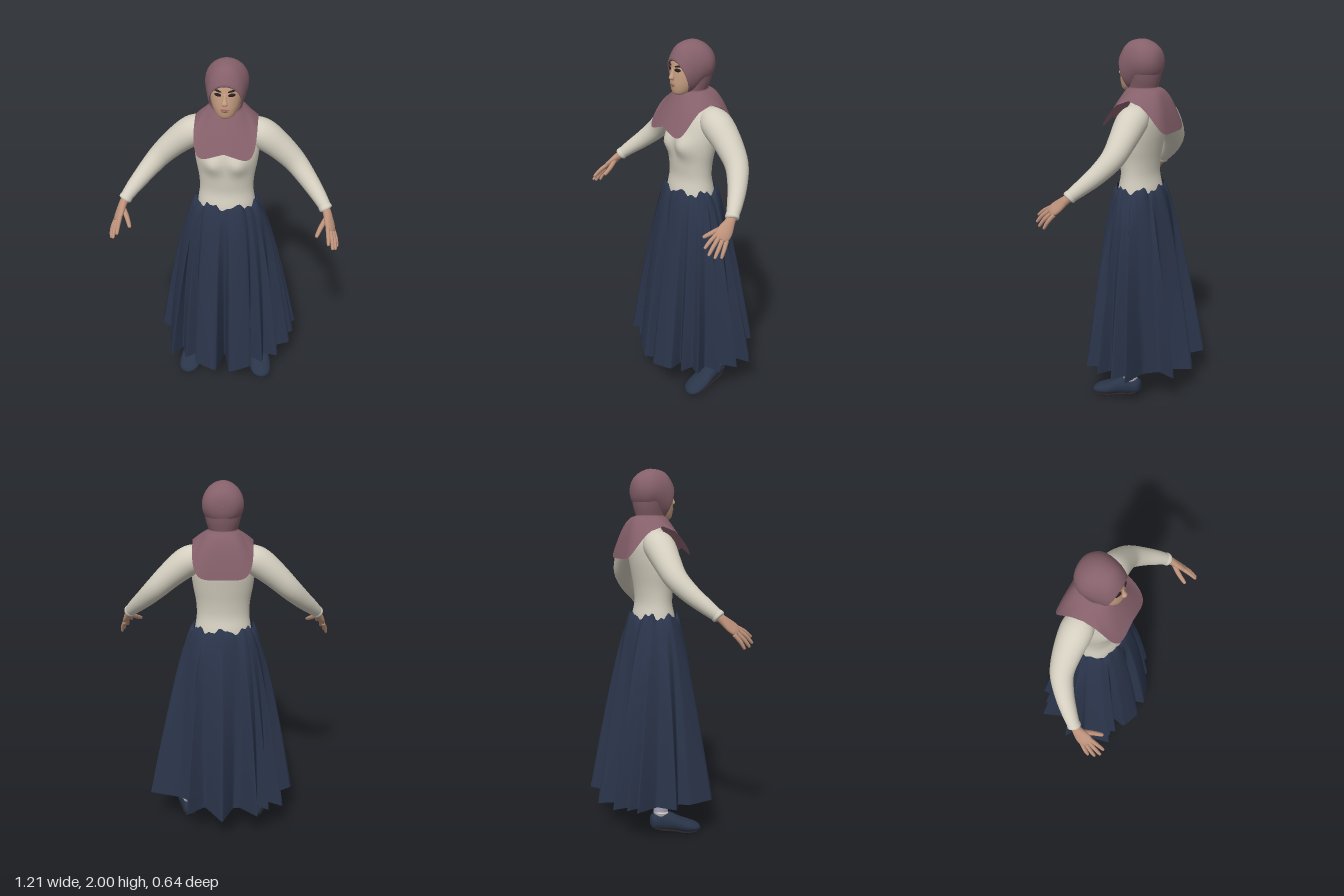
import * as THREE from 'three';

const V = (x, y, z) => new THREE.Vector3(x, y, z);
const X = V(1, 0, 0), Y = V(0, 1, 0), Z = V(0, 0, 1);
const lerp = THREE.MathUtils.lerp;

function paint(name, hex, side = THREE.FrontSide) {
  const m = new THREE.MeshStandardMaterial({ color: hex, side });
  m.name = name;
  return m;
}

// Smoothly resample rows of numbers, k steps per span
function smooth(rows, k) {
  const out = [], at = i => rows[Math.min(Math.max(i, 0), rows.length - 1)];
  for (let i = 0; i < rows.length - 1; i++) {
    for (let j = 0; j < k; j++) {
      const t = j / k;
      out.push(rows[i].map((b, c) => {
        const a = at(i - 1)[c], d = at(i + 1)[c], e = at(i + 2)[c];
        return b + 0.5 * t * (d - a + t * (2 * a - 5 * b + 4 * d - e + t * (3 * (b - d) + e - a)));
      }));
    }
  }
  out.push(rows[rows.length - 1]);
  return out;
}

// Skin a list of closed rings; faces are turned outward by signed volume
function skin(rings, cap = true) {
  const n = rings[0].length, pts = rings.flat(), idx = [];
  for (let r = 0; r < rings.length - 1; r++) {
    for (let i = 0; i < n; i++) {
      const a = r * n + i, b = r * n + (i + 1) % n;
      idx.push(a, b, a + n, b, b + n, a + n);
    }
  }
  if (cap) {
    [0, rings.length - 1].forEach(r => {
      const c = rings[r].reduce((s, p) => s.add(p), V(0, 0, 0)).divideScalar(n);
      pts.push(c);
      for (let i = 0; i < n; i++) {
        const a = r * n + i, b = r * n + (i + 1) % n;
        if (r) idx.push(a, b, pts.length - 1); else idx.push(b, a, pts.length - 1);
      }
    });
  }
  const mid = pts.reduce((s, p) => s.add(p), V(0, 0, 0)).divideScalar(pts.length);
  let vol = 0;
  for (let i = 0; i < idx.length; i += 3) {
    const [a, b, c] = [0, 1, 2].map(k => pts[idx[i + k]].clone().sub(mid));
    vol += a.dot(b.cross(c));
  }
  if (vol < 0) idx.reverse();
  const g = new THREE.BufferGeometry().setFromPoints(pts);
  g.setIndex(idx);
  g.computeVertexNormals();
  return g;
}

// Sweep ellipses along rows of [x, y, z, radiusA, radiusB]
function sweep(rows, side, axis = null, n = 20, k = 4) {
  const path = smooth(rows, k);
  return skin(path.map((p, i) => {
    const q = path[Math.min(i + 1, path.length - 1)], o = path[Math.max(i - 1, 0)];
    const t = axis || V(q[0] - o[0], q[1] - o[1], q[2] - o[2]).normalize();
    const u = side.clone().addScaledVector(t, -side.dot(t)).normalize();
    const w = t.clone().cross(u);
    return Array.from({ length: n }, (_, j) => {
      const a = j / n * Math.PI * 2;
      return V(p[0], p[1], p[2]).addScaledVector(u, p[3] * Math.cos(a)).addScaledVector(w, p[4] * Math.sin(a));
    });
  }));
}

export function createModel() {
  const model = new THREE.Group();
  const scarf = paint('mauve scarf', 0x85606a, THREE.DoubleSide);
  const cream = paint('cream cloth', 0xd3cebf);
  const navy = paint('navy cloth', 0x2b354b, THREE.DoubleSide);
  const shoeBlue = paint('navy shoe', 0x2a3549);
  const skinTone = paint('skin', 0xbc917a);
  const faceTone = paint('face skin', 0xc89f83);
  const dark = paint('dark brown', 0x2a201f);
  const lip = paint('lip', 0x9a685a);
  const sock = paint('lilac stocking', 0xaaa5bc);
  const soleMat = paint('sole', 0x2b2220);
  const add = (name, geo, mat) => {
    const m = new THREE.Mesh(geo, mat);
    m.name = name;
    model.add(m);
    return m;
  };

  // Torso with a soft bust
  const torso = sweep([
    [0, 1.12, .01, .16, .112], [0, 1.2, .012, .155, .112], [0, 1.28, .012, .144, .096],
    [0, 1.36, .012, .148, .1], [0, 1.44, .006, .162, .107], [0, 1.52, -.002, .17, .112],
    [0, 1.6, -.015, .164, .102], [0, 1.66, -.02, .13, .078], [0, 1.7, -.015, .07, .06], [0, 1.74, 0, .055, .055],
  ], X, Y, 48);
  const tp = torso.attributes.position;
  for (let i = 0; i < tp.count; i++) {
    const x = Math.abs(tp.getX(i)), y = tp.getY(i), z = tp.getZ(i);
    if (z > 0) tp.setZ(i, z + .032 * Math.exp(-((x - .07) ** 2 + (y - 1.465) ** 2) / .003));
  }
  torso.computeVertexNormals();
  add('torso', torso, cream);

  // Pleated skirt: plain at the waist, folding towards a hem outline (x, z)
  const hem = [
    [0, .16], [.04, .31], [.165, .27], [.15, .19], [.23, .24], [.235, .17], [.32, .19], [.28, .11],
    [.39, .08], [.3, .04], [.41, -.02], [.31, -.07], [.42, -.11], [.24, -.125], [.16, -.19], [.2, -.3],
    [.1, -.2], [0, -.325], [-.06, -.2], [-.1, -.2], [-.2, -.31], [-.2, -.2], [-.265, -.255], [-.25, -.16],
    [-.345, -.23], [-.29, -.09], [-.405, -.03], [-.3, .03], [-.345, .08], [-.31, .235], [-.25, .16], [-.225, .24],
    [-.15, .18], [-.165, .265], [-.04, .31],
  ];
  const hemCurve = new THREE.CatmullRomCurve3(hem.map(([x, z]) => V(x, 0, z)), true, 'catmullrom', .12);
  const hemPts = Array.from({ length: hem.length * 5 }, (_, i) => hemCurve.getPoint(i / (hem.length * 5)));
  const skirt = [];
  for (let r = 0; r <= 24; r++) {
    const f = (r / 24) ** 1.4, s = f ** .65, fold = f ** .5;
    skirt.push(hemPts.map(p => {
      const a = Math.atan2(p.x, p.z), sx = Math.sin(a), cz = Math.cos(a);
      const top = 1.215 + .012 * Math.tanh(3 * Math.sin(7 * a - 1.4)) + .008 * Math.sin(17 * a);
      return V(lerp(.162 * sx, lerp(.385 * sx, p.x, fold), s), lerp(top, .16 + .14 * Math.abs(p.x), f),
        lerp(.012 + .119 * cz, lerp(.285 * cz, p.z, fold), s));
    }));
  }
  add('skirt', skin(skirt, false), navy);

  // Head and face
  add('head', sweep([
    [0, 1.732, .088, .02, .018], [0, 1.745, .072, .046, .045], [0, 1.78, .054, .066, .07], [0, 1.82, .045, .077, .079],
    [0, 1.87, .037, .083, .083], [0, 1.92, .03, .078, .08], [0, 1.96, .02, .05, .05],
  ], X, Y, 36), faceTone);
  add('nose', sweep([
    [0, 1.872, .115, .007, .006], [0, 1.845, .122, .009, .01], [0, 1.822, .129, .015, .013], [0, 1.811, .123, .011, .006],
  ], X, Y, 16), faceTone);
  const spot = (name, mat, x, y, z, w, h, yaw, roll = 0) => {
    const m = add(name, new THREE.SphereGeometry(1, 16, 10), mat);
    m.position.set(x, y, z);
    m.scale.set(w, h, .0045);
    m.rotation.set(0, yaw, roll, 'YXZ');
  };
  spot('upperLip', lip, 0, 1.788, .124, .024, .004, 0);
  spot('lowerLip', lip, 0, 1.78, .1235, .019, .005, 0);

  // Hood around the face: rows of [z, centreY, radiusX, radiusY, tilt]
  const oval = ([z, cy, rx, ry, k]) => Array.from({ length: 40 }, (_, j) => {
    const a = j / 40 * Math.PI * 2;
    return V(rx * Math.cos(a), cy + ry * Math.sin(a), z + k * ry * Math.sin(a));
  });
  add('hood', skin(smooth([
    [.075, 1.822, .076, .082, .35], [.088, 1.822, .079, .087, .36], [.082, 1.83, .086, .1, .33], [.05, 1.858, .097, .127, .17],
    [0, 1.88, .108, .121, 0], [-.05, 1.882, .105, .106, 0], [-.09, 1.882, .077, .077, 0], [-.108, 1.882, .042, .042, 0],
    [-.113, 1.882, .001, .001, 0],
  ], 5).map(oval), false), scarf);

  // Scarf: neck column opening into front and back flaps
  const cape = [];
  const around = f => Array.from({ length: 96 }, (_, j) => f(j / 96 * Math.PI * 2));
  for (const [y, rx, rz, cz] of smooth([[1.87, .104, .096, -.014], [1.8, .09, .084, -.014], [1.75, .076, .08, -.004]], 5)) {
    cape.push(around(a => V(rx * Math.sin(a), y, cz + rz * Math.cos(a))));
  }
  const sq = v => Math.sign(v) * Math.abs(v) ** .36;
  for (let r = 1; r <= 16; r++) {
    const t = r / 16;
    cape.push(around(a => {
      const c = Math.cos(a), ex = .16 * sq(Math.sin(a)), ez = .186 * sq(c);
      const drop = (c > 0 ? .185 : .172) * (ez / .186) ** 2;
      const bump = c > 0 ? .065 * (1 - Math.abs(ex) / .16) ** .8 * c : 0;
      const bow = c < 0 ? 1.1 - .6 * c : 1.1;
      return V(lerp(.076 * Math.sin(a), ex, t ** .85), lerp(1.75, 1.695 - drop + bump, t ** bow),
        lerp(-.004 + .08 * c, ez, c < 0 ? t ** .75 : t));
    }));
  }
  add('scarfCape', skin(cape, false), scarf);

  for (const s of [1, -1]) {
    const side = s > 0 ? 'left' : 'right';
    const flip = rows => rows.map(([x, ...rest]) => [x * s, ...rest]);
    const limb = (name, rows, mat, dir = Z, axis = null, n = 20) =>
      add(side + name, sweep(flip(rows), dir, axis, n), mat);

    // Eyes and brows
    spot(side + 'Eye', dark, s * .034, 1.865, .114, .019, .009, s * .42);
    spot(side + 'Brow', dark, s * .036, 1.885, .111, .023, .005, s * .42, s * .18);

    // Sleeve and cuff
    limb('Sleeve', [
      [.1, 1.615, -.03, .06, .06], [.15, 1.602, -.03, .08, .074], [.2, 1.575, -.03, .083, .079], [.28, 1.51, -.03, .073, .07],
      [.36, 1.433, -.018, .061, .06], [.43, 1.36, .03, .05, .05], [.49, 1.298, .09, .04, .04], [.53, 1.252, .138, .031, .031],
    ], cream, Z, null, 28);
    limb('Cuff', [[.52, 1.264, .126, .03, .03], [.523, 1.26, .13, .0345, .0345], [.531, 1.25, .139, .0345, .0345],
      [.534, 1.246, .142, .026, .026]], cream);

    // Hand, fingers and thumb
    limb('Palm', [[.525, 1.258, .132, .023, .023], [.538, 1.235, .158, .027, .021], [.549, 1.207, .19, .038, .018],
      [.557, 1.186, .216, .039, .016], [.563, 1.172, .232, .029, .01]], skinTone, V(s * .6, -.55, -.6));
    [
      [[.541, 1.2, .228], [.545, 1.175, .275], [.548, 1.142, .317]],
      [[.553, 1.187, .23], [.566, 1.152, .275], [.572, 1.112, .311]],
      [[.565, 1.173, .22], [.581, 1.136, .256], [.589, 1.096, .286]],
      [[.574, 1.164, .202], [.59, 1.128, .23], [.598, 1.09, .252]],
      [[.537, 1.222, .175], [.508, 1.192, .225], [.484, 1.165, .28]],
    ].forEach(([a, b, c], i) => {
      const r = i === 4 ? .0135 : .011;
      const tip = c.map((v, k) => lerp(v, b[k], .12));
      limb(i === 4 ? 'Thumb' : 'Finger' + (i + 1),
        [[...a, r, r], [...b, r * .95, r * .95], [...tip, r * .7, r * .7], [...c, .002, .002]], skinTone, X, null, 10);
    });

    // Stockinged leg
    limb('Leg', [[.2, .09, -.028, .034, .038], [.2, .18, -.028, .036, .044], [.19, .34, -.03, .052, .055],
      [.16, .56, -.01, .055, .058], [.12, .8, 0, .075, .08], [.09, 1.08, .005, .07, .08]], sock, X, Y);

    // Shoe, sole and ankle trim
    const shoe = [[.196, .085, -.087, .015, .02], [.197, .086, -.074, .034, .042], [.2, .086, -.03, .044, .056],
      [.206, .074, .03, .054, .052], [.213, .05, .09, .064, .042], [.22, .035, .15, .06, .031],
      [.224, .027, .185, .04, .021], [.225, .024, .198, .01, .007]];
    limb('Shoe', shoe, shoeBlue, X, Z, 24);
    limb('Sole', shoe.slice(1, 7).map(([x, y, z, w, h]) => [x, Math.max(.009, y - h + .008), z, w * .88, .009]), soleMat, X, Z);
    const trim = add(side + 'AnkleTrim', new THREE.TorusGeometry(.036, .006, 8, 24), cream);
    trim.rotation.x = Math.PI / 2 + .1;
    trim.position.set(s * .2, .135, -.028);
  }
  return model;
}
